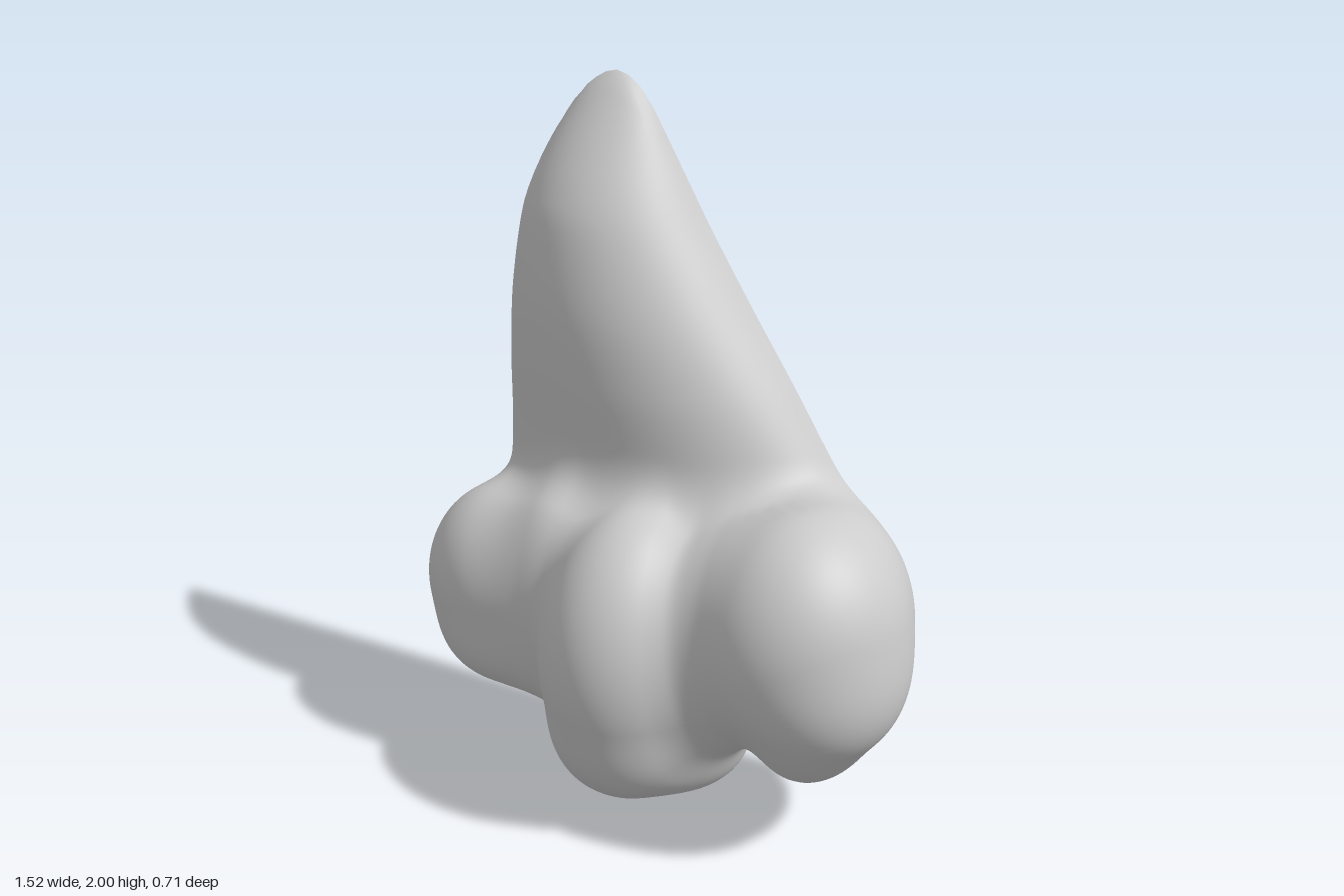
import * as THREE from 'three';

// Bridge and base sections: [y, right edge x, left edge x, depth from the flat back]
const KEYS = [
  [0.14, -0.3, -0.08, 0.04], [0.2, -0.42, 0.1, 0.16], [0.3, -0.56, 0.37, 0.26], [0.42, -0.64, 0.55, 0.31],
  [0.62, -0.67, 0.61, 0.34], [0.75, -0.65, 0.575, 0.34], [0.86, -0.625, 0.5, 0.32], [1.0, -0.62, 0.395, 0.3],
  [1.2, -0.615, 0.265, 0.305], [1.4, -0.6, 0.13, 0.295], [1.6, -0.57, 0.0, 0.255], [1.7, -0.54, -0.06, 0.215],
  [1.8, -0.495, -0.12, 0.155], [1.9, -0.435, -0.18, 0.085], [1.96, -0.385, -0.225, 0.04], [2.0, -0.32, -0.28, 0.008],
];

// The same sections, smoothed along the height
const SAMPLES = 150;
const columns = [1, 2, 3].map((n) =>
  new THREE.SplineCurve(KEYS.map((k) => new THREE.Vector2(k[0], k[n]))).getPoints(SAMPLES));
const SECTIONS = columns[0].map((p, i) => [p.x, p.y, columns[1][i].y, columns[2][i].y]);

// Fleshy lobes: centre x, y, z and radii x, y, z
const LOBES = [
  [-0.01, 0.5, 0.0, 0.27, 0.42, 0.355],    // tip
  [-0.02, 0.26, 0.02, 0.22, 0.2, 0.26],    // underside of the tip
  [-0.03, 0.16, -0.07, 0.15, 0.15, 0.2],   // septum
  [0.13, 0.16, -0.1, 0.12, 0.11, 0.18],    // septum corner
  [0.46, 0.64, -0.03, 0.29, 0.345, 0.305], // left wing
  [0.47, 0.6, -0.19, 0.21, 0.33, 0.2],     // back of the left wing
  [0.55, 0.52, -0.01, 0.195, 0.2, 0.23],   // lower side of the left wing
  [0.5, 0.36, -0.06, 0.14, 0.155, 0.2],    // left nostril rim
  [-0.49, 0.55, -0.08, 0.265, 0.29, 0.235], // right wing
  [-0.47, 0.38, -0.06, 0.21, 0.14, 0.19],  // right nostril rim
  [-0.28, 0.56, -0.03, 0.22, 0.34, 0.185], // fold between tip and right wing
  [0.24, 0.56, -0.05, 0.18, 0.34, 0.26],   // fold between tip and left wing
];

const backZ = (y) => -0.317 - 0.0215 * y;

// Smooth minimum, used to melt the lobes together
function blend(a, b, k) {
  const h = Math.max(k - Math.abs(a - b), 0) / k;
  return Math.min(a, b) - h * h * k * 0.25;
}

function sectionField(x, y, h) {
  if (y <= SECTIONS[0][0] || y >= 2) return 1;
  let i = 0, top = SAMPLES;
  while (top - i > 1) {
    const mid = (i + top) >> 1;
    if (SECTIONS[mid][0] < y) i = mid; else top = mid;
  }
  const a = SECTIONS[i], b = SECTIONS[top];
  const t = (y - a[0]) / (b[0] - a[0]);
  const lo = THREE.MathUtils.lerp(a[1], b[1], t);
  const hi = THREE.MathUtils.lerp(a[2], b[2], t);
  const depth = THREE.MathUtils.lerp(a[3], b[3], t);
  const w = (hi - lo) / 2;
  return (Math.hypot((x - (lo + hi) / 2) / w, h / depth) - 1) * Math.min(w, depth);
}

// Negative inside the body, positive outside
function field(x, y, h) {
  const z = backZ(y) + h;
  let d = 1;
  for (const [cx, cy, cz, rx, ry, rz] of LOBES) {
    const q = Math.hypot((x - cx) / rx, (y - cy) / ry, (z - cz) / rz);
    d = blend(d, (q - 1) * Math.min(rx, ry, rz), 0.075);
  }
  return blend(d, sectionField(x, y, h), 0.08);
}

export function createModel() {
  const group = new THREE.Group();
  const material = new THREE.MeshStandardMaterial({ color: 0xcccccc });
  const CX = -0.06, CY = 0.7, AROUND = 240, RINGS = 80;
  const positions = [], index = [];

  // Cast a ray from the middle of the back and keep the outermost surface point
  function cast(theta, phi) {
    const dx = Math.sin(theta) * Math.cos(phi);
    const dy = Math.sin(theta) * Math.sin(phi);
    const dh = Math.cos(theta);
    const value = (r) => field(CX + dx * r, CY + dy * r, dh * r);
    let r = 1.5;
    while (r > 0.03 && value(r) > 0) r -= 0.015;
    let inside = r, outside = r + 0.015;
    for (let n = 0; n < 9; n++) {
      const mid = (inside + outside) / 2;
      if (value(mid) > 0) outside = mid; else inside = mid;
    }
    const y = CY + dy * inside;
    return [CX + dx * inside, y, backZ(y) + dh * inside];
  }

  // Front skin, in rings from the centre out to the flat back
  const id = (i, j) => (i === 0 ? 0 : 1 + (i - 1) * AROUND + (j % AROUND));
  positions.push(...cast(0, 0));
  for (let i = 1; i <= RINGS; i++) {
    for (let j = 0; j < AROUND; j++) {
      positions.push(...cast((i / RINGS) * Math.PI / 2, (j / AROUND) * Math.PI * 2));
    }
  }
  for (let i = 0; i < RINGS; i++) {
    for (let j = 0; j < AROUND; j++) {
      index.push(id(i, j), id(i + 1, j), id(i + 1, j + 1));
      if (i > 0) index.push(id(i, j), id(i + 1, j + 1), id(i, j + 1));
    }
  }
  const skin = new THREE.BufferGeometry();
  skin.setAttribute('position', new THREE.Float32BufferAttribute(positions, 3));
  skin.setIndex(index);
  skin.computeVertexNormals();
  const nose = new THREE.Mesh(skin, material);
  nose.name = 'nose';
  group.add(nose);

  // Flat back, a fan over the last ring
  const rim = positions.slice(id(RINGS, 0) * 3);
  const fan = [];
  for (let j = 0; j < AROUND; j++) fan.push(0, 1 + ((j + 1) % AROUND), 1 + j);
  const cap = new THREE.BufferGeometry();
  cap.setAttribute('position', new THREE.Float32BufferAttribute([CX, CY, backZ(CY), ...rim], 3));
  cap.setIndex(fan);
  cap.computeVertexNormals();
  const back = new THREE.Mesh(cap, material);
  back.name = 'flatBack';
  group.add(back);

  return group;
}
